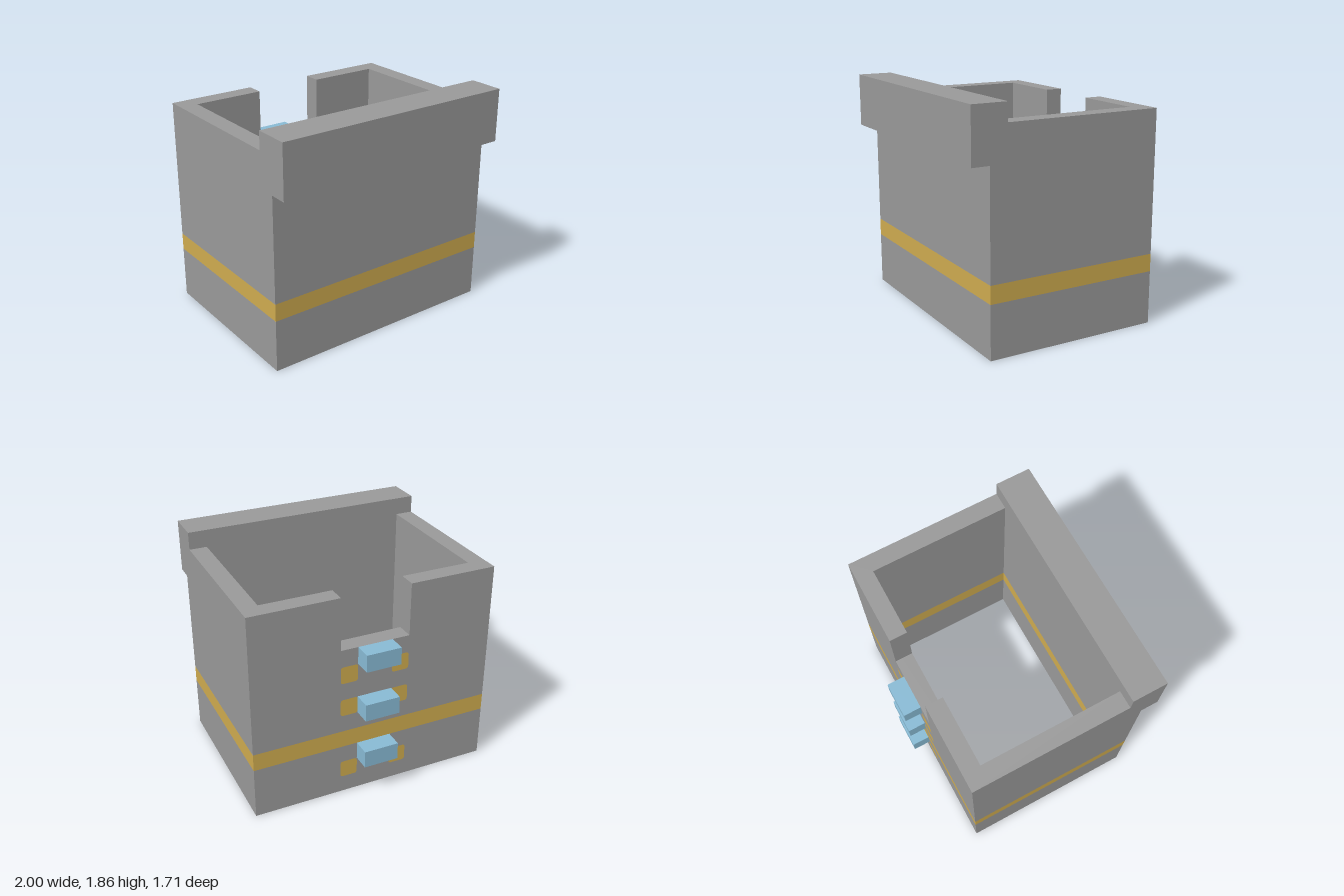
import * as THREE from 'three';

const U = 1 / 7; // one grid unit of the tower

export function createModel() {
  const group = new THREE.Group();
  const material = (name, color) => {
    const m = new THREE.MeshStandardMaterial({ color });
    m.name = name;
    return m;
  };
  const stone = material('stone grey', 0x999999);
  const gold = material('gold', 0xceab4f);
  const blue = material('step blue', 0x88bad4);

  const add = (name, geometry, mat) => {
    const mesh = new THREE.Mesh(geometry, mat);
    mesh.name = name;
    group.add(mesh);
    return mesh;
  };
  const path = (pts) => pts.map(([x, z]) => new THREE.Vector2(x * U, -z * U));

  // Raises a floor plan (x, z) from height y0 to y1, in grid units
  const raise = (name, mat, y0, y1, outline, hole) => {
    const shape = new THREE.Shape(path(outline));
    if (hole) shape.holes.push(new THREE.Path(path(hole)));
    const geo = new THREE.ExtrudeGeometry(shape, { depth: (y1 - y0) * U, bevelEnabled: false });
    geo.rotateX(-Math.PI / 2);
    geo.translate(0, y0 * U, 0);
    add(name, geo, mat);
  };
  const box = (name, mat, x0, x1, y0, y1, z0, z1) => {
    const geo = new THREE.BoxGeometry((x1 - x0) * U, (y1 - y0) * U, (z1 - z0) * U);
    geo.translate((x0 + x1) / 2 * U, (y0 + y1) / 2 * U, (z0 + z1) / 2 * U);
    add(name, geo, mat);
  };

  // Hollow walls, open at top and bottom, with a gold band all the way through.
  // Outline and hole run in opposite directions so both sides face outwards.
  const outer = [[-7, 5], [7, 5], [7, -5], [-7, -5]];
  const inner = [[-6, -4], [6, -4], [6, 4], [-6, 4]];
  raise('lowerWalls', stone, 0, 3, outer, inner);
  raise('goldBand', gold, 3, 4, outer, inner);
  raise('upperWalls', stone, 4, 9, outer, inner);

  // Wall course with the notch in the back
  raise('notchedWalls', stone, 9, 10, [
    [2, -5], [7, -5], [7, 5], [-7, 5], [-7, -5], [-2, -5],
    [-2, -4], [-6, -4], [-6, 4], [6, 4], [6, -4], [2, -4],
  ]);

  // Upper corners either side of the notch
  for (const s of [1, -1]) {
    raise(s > 0 ? 'leftParapet' : 'rightParapet', stone, 10, 12,
      [[2, -5], [7, -5], [7, 4], [6, 4], [6, -4], [2, -4]].map(([x, z]) => [x * s, z]));
  }

  // Overhanging front ledge
  box('frontLedge', stone, -7, 7, 10, 13, 4, 6);

  // Steps up the back
  for (const y of [2, 5, 8]) box('backStep', blue, -1, 1, y, y + 1, -6, -5);

  // Gold painted squares beside the steps, with softened corners, facing back
  const h = U / 2;
  const r = 0.15 * U;
  const square = new THREE.Shape();
  square.absarc(h - r, h - r, r, 0, Math.PI / 2);
  square.absarc(r - h, h - r, r, Math.PI / 2, Math.PI);
  square.absarc(r - h, r - h, r, Math.PI, Math.PI * 1.5);
  square.absarc(h - r, r - h, r, Math.PI * 1.5, Math.PI * 2);
  const squareGeo = new THREE.ShapeGeometry(square, 4);
  squareGeo.rotateY(Math.PI);
  for (const y of [1.5, 5.5, 7.5]) {
    for (const x of [-1.5, 1.5]) {
      add('goldSquare', squareGeo, gold).position.set(x * U, y * U, -5 * U - 0.002);
    }
  }

  return group;
}
